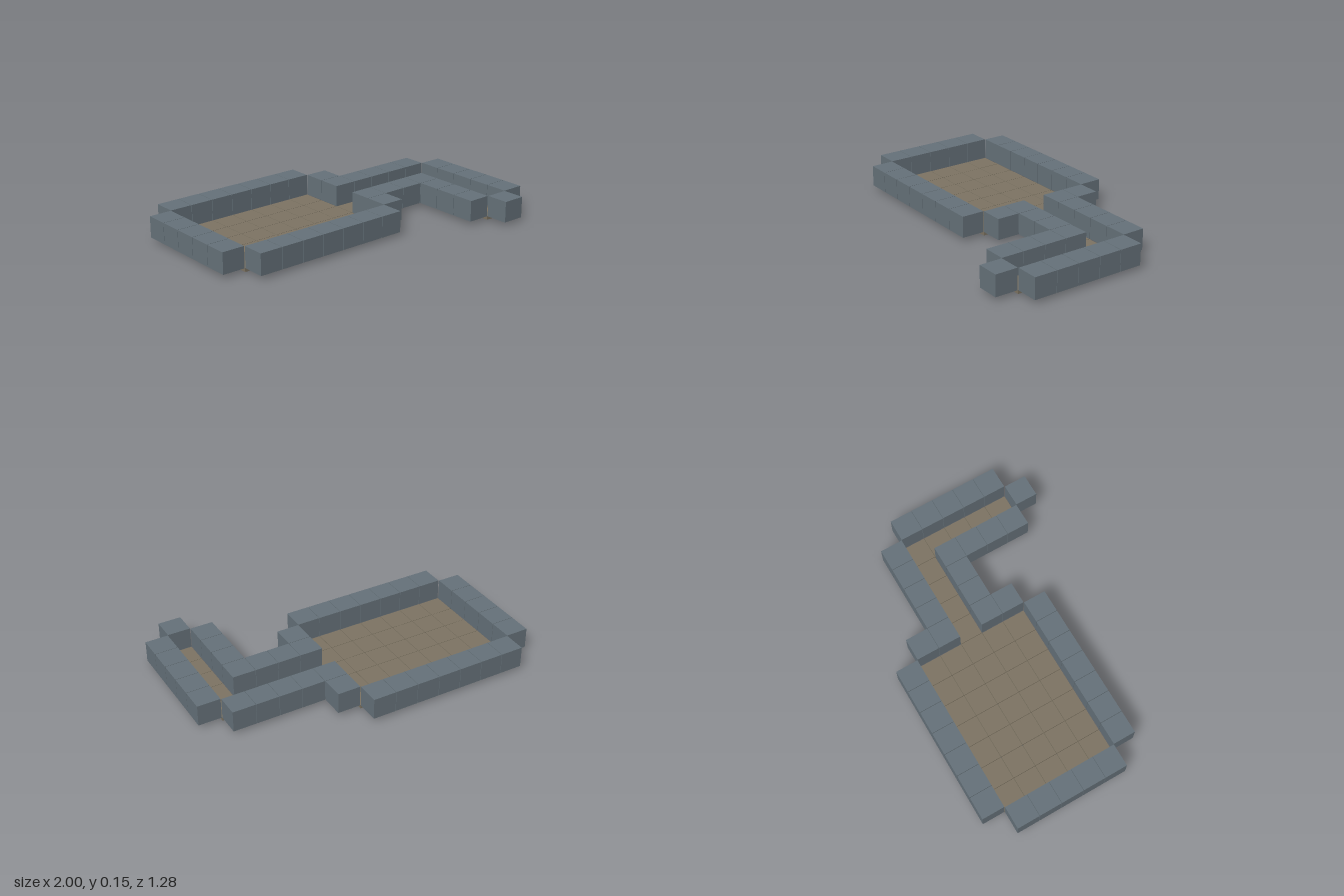
import * as THREE from 'three';

// Floor plan seen from above: # wall block, . floor tile
const PLAN = [
  ' #######      ',
  '#.......#     ',
  '#.......##### ',
  '#............#',
  '#.......####.#',
  '#.......#  #.#',
  ' #######   #.#',
  '           #.#',
  '            # ',
];
const PITCH = 2 / 13.98;
const SIZE = PITCH * 0.98; // leaves a thin joint between cells
const FLOOR_TOP = 0.023;
const WALL_TOP = 0.152;

export function createModel() {
  const model = new THREE.Group();
  model.name = 'dungeonRoom';
  const walls = new THREE.Group();
  walls.name = 'walls';
  const floor = new THREE.Group();
  floor.name = 'floor';
  model.add(walls, floor);

  const wallHeight = WALL_TOP - FLOOR_TOP;
  const wallGeometry = new THREE.BoxGeometry(SIZE, wallHeight, SIZE);
  const tileGeometry = new THREE.BoxGeometry(SIZE, FLOOR_TOP, SIZE);
  const wallMaterial = new THREE.MeshStandardMaterial({ color: 0x66727a });
  const tileMaterial = new THREE.MeshStandardMaterial({ color: 0x7d7463 });

  PLAN.forEach((line, row) => {
    [...line].forEach((cell, col) => {
      if (cell === ' ') return;
      const isWall = cell === '#';
      const mesh = isWall
        ? new THREE.Mesh(wallGeometry, wallMaterial)
        : new THREE.Mesh(tileGeometry, tileMaterial);
      mesh.name = isWall ? 'wallBlock' : 'floorTile';
      // Wall blocks start level with the top of the floor tiles
      mesh.position.set(
        (col - (line.length - 1) / 2) * PITCH,
        isWall ? FLOOR_TOP + wallHeight / 2 : FLOOR_TOP / 2,
        (row - (PLAN.length - 1) / 2) * PITCH,
      );
      (isWall ? walls : floor).add(mesh);
    });
  });
  return model;
}
